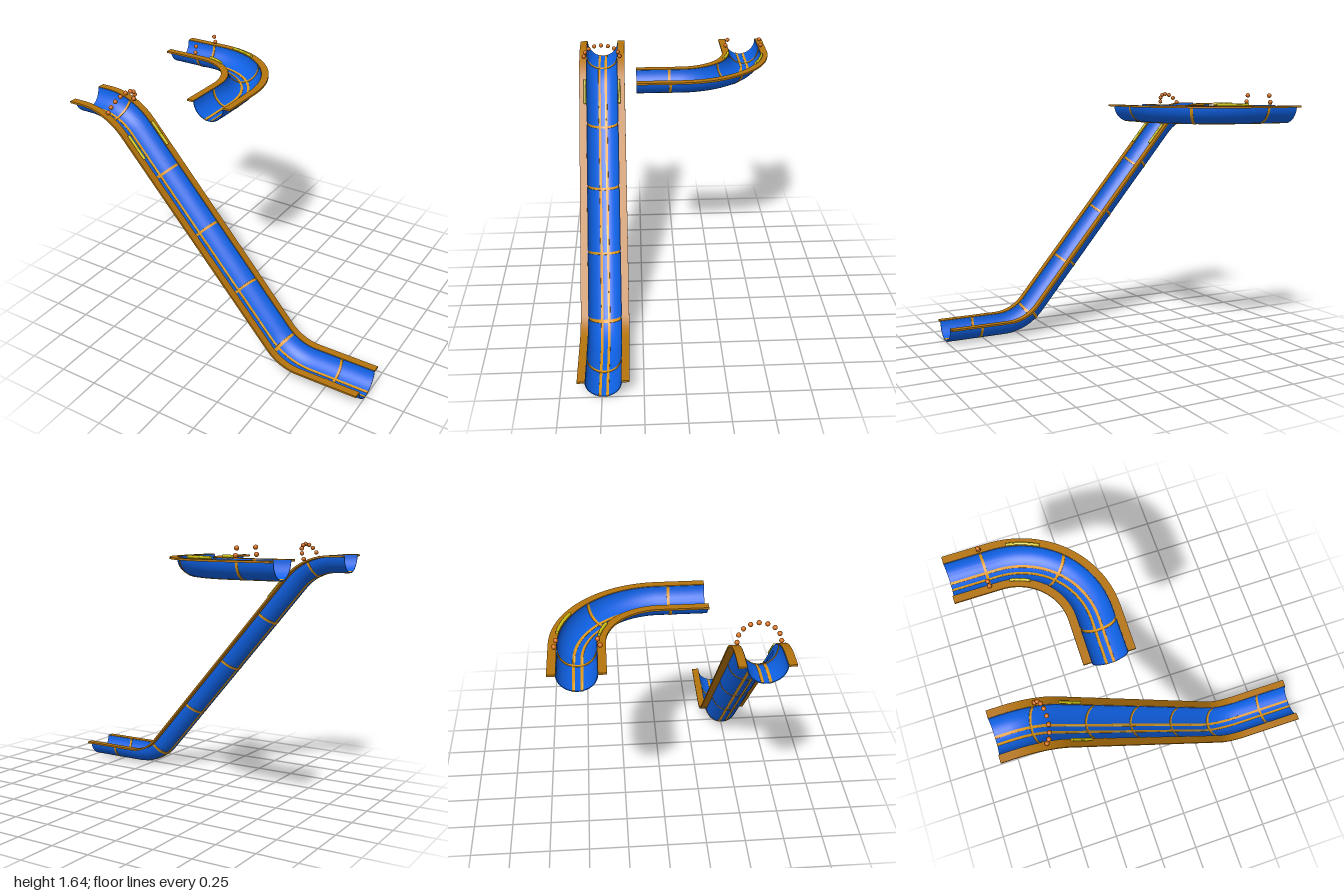
import * as THREE from 'three';
import { toCreasedNormals } from 'three/addons/utils/BufferGeometryUtils.js';

const DEG = Math.PI / 180;
const material = (name, color) => Object.assign(new THREE.MeshStandardMaterial({ color }), { name });

// Planar path made of straights [length] and arcs [length, turn]; returns a frame at distance s
function makePath(a, b, segments, toVector, upright) {
  const length = segments.reduce((sum, seg) => sum + seg[0], 0);
  const at = (s) => {
    let x = a, y = b, h = 0, left = Math.min(Math.max(s, 0), length);
    for (const [len, turn = 0] of segments) {
      const d = Math.min(left, len), k = turn / len;
      if (turn) {
        x += (Math.sin(h + k * d) - Math.sin(h)) / k;
        y -= (Math.cos(h + k * d) - Math.cos(h)) / k;
      } else {
        x += d * Math.cos(h);
        y += d * Math.sin(h);
      }
      h += k * d;
      left -= d;
      if (left <= 0) break;
    }
    const side = upright ? new THREE.Vector3(0, 0, 1) : new THREE.Vector3(-Math.sin(h), 0, Math.cos(h));
    const up = upright ? new THREE.Vector3(-Math.sin(h), Math.cos(h), 0) : new THREE.Vector3(0, 1, 0);
    return { p: toVector(x, y), side, up };
  };
  return { at, length };
}

// Cross-sections, counter-clockwise in (side, up)
function arcSection(a0, a1, r0, r1, n) {
  const pts = [];
  const add = (a, r) => pts.push(new THREE.Vector2(Math.cos(a * DEG) * r, Math.sin(a * DEG) * r));
  for (let i = 0; i <= n; i++) add(a0 + (a1 - a0) * i / n, r1);
  for (let i = n; i >= 0; i--) add(a0 + (a1 - a0) * i / n, r0);
  return pts;
}
const boxSection = (u0, u1, v0, v1) =>
  [[u0, v0], [u1, v0], [u1, v1], [u0, v1]].map(([u, v]) => new THREE.Vector2(u, v));
const roundSection = (u, v, r) => Array.from({ length: 10 }, (_, i) =>
  new THREE.Vector2(u + r * Math.cos(i * 36 * DEG), v + r * Math.sin(i * 36 * DEG)));

// Carry a closed section along part of a path, with end caps
function sweep(path, section, s0, s1) {
  const n = section.length, steps = Math.max(1, Math.ceil((s1 - s0) / 0.025));
  const pos = [], index = [];
  for (let j = 0; j <= steps; j++) {
    const f = path.at(s0 + (s1 - s0) * j / steps);
    for (const q of section) {
      const v = f.p.clone().addScaledVector(f.side, q.x).addScaledVector(f.up, q.y);
      pos.push(v.x, v.y, v.z);
    }
  }
  for (let j = 0; j < steps; j++) {
    for (let i = 0; i < n; i++) {
      const k = (i + 1) % n, a = j * n + i, b = j * n + k, c = b + n, d = a + n;
      index.push(a, d, c, a, c, b);
    }
  }
  const end = steps * n;
  for (const [a, b, c] of THREE.ShapeUtils.triangulateShape(section, [])) {
    index.push(a, b, c, end + a, end + c, end + b);
  }
  const g = new THREE.BufferGeometry();
  g.setAttribute('position', new THREE.Float32BufferAttribute(pos, 3));
  g.setIndex(index);
  return toCreasedNormals(g, 40 * DEG);
}

export function createModel() {
  const blue = material('slide blue', 0x0f62e6);
  const brown = material('rim ochre', 0xb5740d);
  const amber = material('stripe amber', 0xe0981a);
  const pale = material('dash pale gold', 0xf2c44a);
  const yellow = material('handle yellow', 0xd2c614);
  const orange = material('bead orange', 0xcf6a12);
  const model = new THREE.Group();
  model.name = 'waterSlides';

  function buildSlide(name, path, { hoops, dashes, handle }) {
    const group = new THREE.Group();
    group.name = name;
    const part = (label, mat, section, s0 = 0, s1 = path.length) => {
      const mesh = new THREE.Mesh(sweep(path, section, s0, s1), mat);
      mesh.name = label;
      group.add(mesh);
    };
    // Half-pipe trough
    part('trough', blue, arcSection(-180, 0, 0.105, 0.11, 28));
    for (const m of [-1, 1]) {
      // Flat rims, lane stripes and grab rails on both sides
      part('rim', brown, m < 0 ? boxSection(-0.155, -0.108, -0.008, 0.004) : boxSection(0.108, 0.155, -0.008, 0.004));
      const a = -90 + m * 12.2;
      part('laneStripe', amber, arcSection(a - 4.5, a + 4.5, 0.103, 0.1115, 3));
      for (const [s0, s1] of dashes) part('laneDash', pale, arcSection(a, a + 4, 0.1022, 0.104, 2), s0, s1);
      part('grabRail', yellow, roundSection(m * 0.1155, 0.013, 0.009), handle[0], handle[1]);
    }
    // Joint hoops
    for (const s of hoops) part('jointHoop', amber, arcSection(-180, 0, 0.1015, 0.1125, 28), s - 0.008, s + 0.008);
    model.add(group);
    return group;
  }

  const beadGeometry = new THREE.SphereGeometry(0.014, 14, 10);
  function bead(group, x, y, z) {
    const mesh = new THREE.Mesh(beadGeometry, orange);
    mesh.name = 'bead';
    mesh.position.set(x, y, z);
    group.add(mesh);
  }

  // Long drop slide: flat, plunge, run-out
  const drop = makePath(-1, 1.553,
    [[0.08], [0.4 * 50 * DEG, -50 * DEG], [1.573], [0.26 * 50 * DEG, 50 * DEG], [0.403]],
    (x, y) => new THREE.Vector3(x, y, 0.49), true);
  const dropSlide = buildSlide('dropSlide', drop, {
    hoops: [0.255, 0.745, 1.18, 1.62, 2.05, 2.41],
    dashes: [0.745, 1.18, 1.62, 2.05].map((s) => [s - 0.19, s - 0.01]),
    handle: [0.44, 0.61],
  });
  // Leaning arch of beads over the drop
  for (let i = 0; i <= 8; i++) {
    const a = i * Math.PI / 8;
    bead(dropSlide, -0.733 + 0.044 * Math.sin(a), 1.53 + 0.092 * Math.sin(a), 0.49 + 0.122 * Math.cos(a));
  }

  // Level slide with a quarter turn
  const bend = makePath(-1, -0.495, [[0.28], [0.465 * Math.PI / 2, Math.PI / 2], [0.285]],
    (x, z) => new THREE.Vector3(x, 1.553, z), false);
  const bendSlide = buildSlide('bendSlide', bend, {
    hoops: [0.22, 0.645, 1.08],
    dashes: [[0, 0.07], [0.23, 0.31]],
    handle: [0.36, 0.52],
  });
  // Short bead posts either side of the entry
  for (const m of [-1, 1]) {
    bead(bendSlide, -0.78, 1.58, -0.492 + m * 0.122);
    bead(bendSlide, -0.78, 1.62, -0.492 + m * 0.11);
  }
  return model;
}
